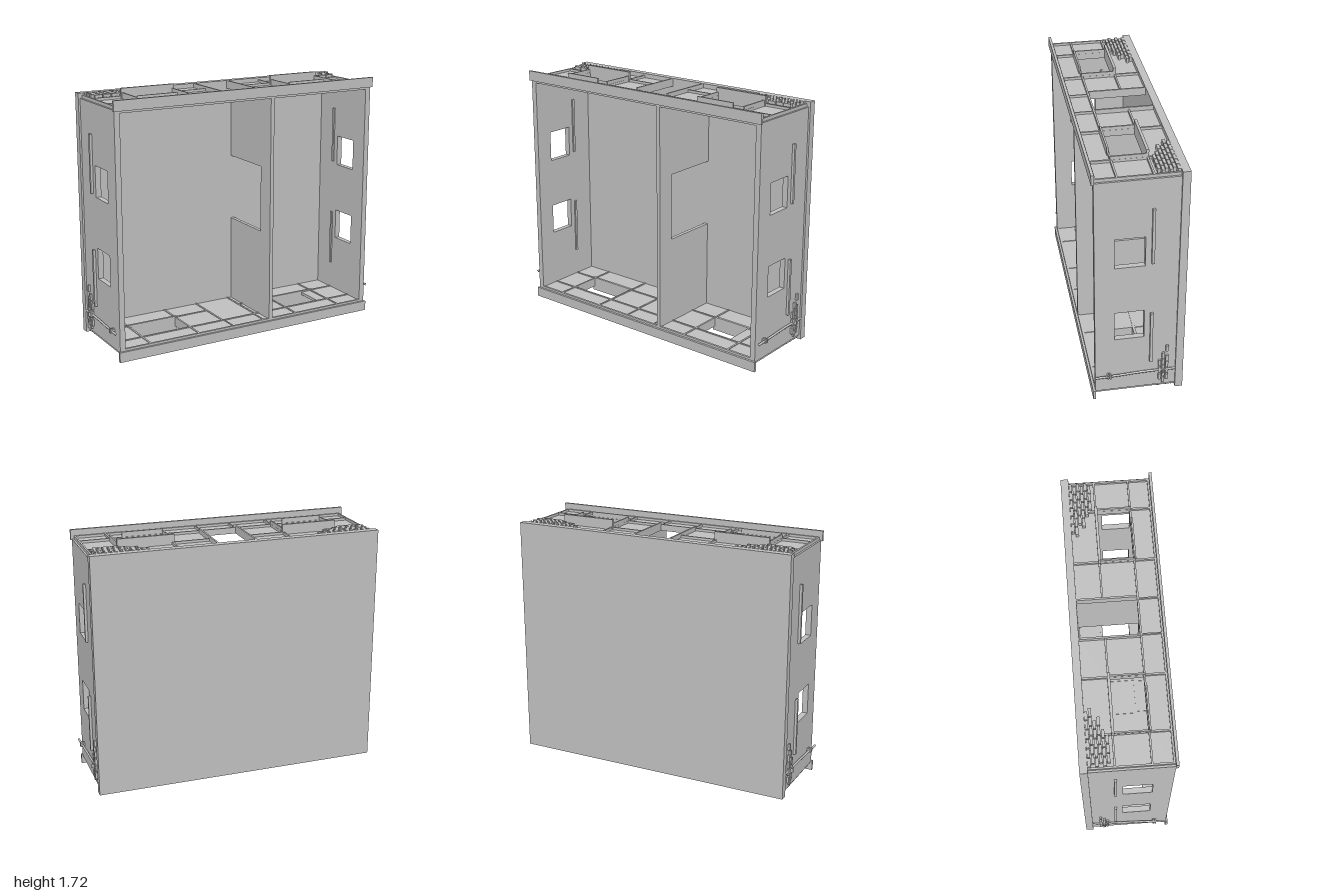
import * as THREE from 'three';

const MID = 0.868; // height of the mirror plane between upper and lower walls

export function createModel() {
  const model = new THREE.Group();
  const grey = new THREE.MeshStandardMaterial({ color: 0xbfbfbf });
  grey.name = 'stone grey';

  const add = (name, geometry, parent = model) => {
    const mesh = new THREE.Mesh(geometry, grey);
    mesh.name = name;
    parent.add(mesh);
    return mesh;
  };
  // Box given by its limits on each axis
  const box = (name, x0, x1, y0, y1, z0, z1, parent = model) => {
    const mesh = add(name, new THREE.BoxGeometry(x1 - x0, y1 - y0, z1 - z0), parent);
    mesh.position.set((x0 + x1) / 2, (y0 + y1) / 2, (z0 + z1) / 2);
    return mesh;
  };
  const path = (Type, pts) => new Type(pts.map(([a, b]) => new THREE.Vector2(a, b)));
  const rect = (a0, a1, b0, b1) => [[a0, b0], [a1, b0], [a1, b1], [a0, b1]];
  const panel = (outline, holes, depth) => {
    const shape = path(THREE.Shape, outline);
    shape.holes = holes.map((h) => path(THREE.Path, h));
    return new THREE.ExtrudeGeometry(shape, { depth, bevelEnabled: false });
  };

  // Base plate behind everything
  box('basePlate', -0.98, 0.98, 0.05, 1.69, -0.295, -0.245);

  // Long walls: upper one has a doorway, lower one is closed
  for (const upper of [true, false]) {
    const group = new THREE.Group();
    group.name = upper ? 'upperWall' : 'lowerWall';
    model.add(group);
    // Mirrors a height for the lower wall
    const slab = (name, x0, x1, y0, y1, z0, z1) => upper
      ? box(name, x0, x1, y0, y1, z0, z1, group)
      : box(name, x0, x1, 2 * MID - y1, 2 * MID - y0, z0, z1, group);

    const door = upper ? [[-0.125, -0.245], [-0.125, 0.135], [0.125, 0.135], [0.125, -0.245]] : [];
    const outline = [[-0.955, -0.245], ...door, [0.955, -0.245], [0.955, 0.28], [-0.955, 0.28]];
    const holes = [
      rect(-0.74, -0.39, -0.08, 0.135),
      rect(0.39, upper ? 0.74 : 0.665, -0.08, 0.135),
    ];
    const wall = add('wallPanel', panel(outline, holes, 0.02), group);
    wall.rotation.x = Math.PI / 2;
    wall.position.y = upper ? 1.66 : 2 * MID - 1.64;

    // Timber beams, showing on both faces of the wall
    for (const x of [-0.949, -0.745, -0.385, 0.385, 0.745, 0.949])
      slab('crossBeam', x - 0.006, x + 0.006, 1.635, 1.677, -0.245, 0.28);
    for (const s of [-1, 1]) {
      slab('middleBeam', s * 0.13 - 0.006, s * 0.13 + 0.006, 1.635, upper ? 1.69 : 1.677, -0.245, 0.135);
      slab('upperStud', s * 0.12 - 0.004, s * 0.12 + 0.004, 1.635, 1.677, 0.135, 0.28);
      const [a, b] = s < 0 ? [-0.95, -0.13] : [0.13, 0.95];
      slab('sillBeam', a, b, 1.635, 1.677, -0.089, -0.077);
    }
    slab('headBeam', -0.95, 0.95, 1.635, 1.677, 0.133, 0.145);
    slab('eaveBeam', -0.95, 0.95, 1.635, 1.677, 0.265, 0.28);

    // Window sills, frames and head trims
    for (const c of [-0.565, 0.565]) {
      slab('windowSill', c - 0.19, c + 0.19, 1.63, 1.728, -0.09, -0.072);
      for (const s of [-1, 1])
        slab('windowJamb', c + s * 0.18 - 0.005, c + s * 0.18 + 0.005, 1.64, 1.7, -0.075, 0.145);
      slab('windowHead', c - 0.18, c + 0.1, 1.64, 1.71, 0.138, 0.15);
    }

    // Stepped patches of brick at the rear corners
    for (const s of [-1, 1]) {
      for (let row = 0; row < 6; row++) {
        const z = -0.234 + row * 0.0235;
        const count = 6 - Math.floor(row * 0.65);
        for (let i = 0; i < count; i++) {
          const x = s * (0.915 - i * 0.058 - (row % 2) * 0.02);
          slab('brick', x - 0.026, x + 0.026, 1.655, 1.692, z - 0.0095, z + 0.0095);
        }
      }
    }

    // Front cornice
    slab('cornice', -0.977, 0.977, 1.65, 1.718, 0.277, 0.295);
  }

  // Side walls with their trims
  const sideBricks = [
    [-0.187, [0.38, 0.3, 0.25, 0.2, 0.145]],
    [-0.163, [0.325, 0.275, 0.225, 0.175, 0.125]],
    [-0.14, [0.265, 0.21, 0.15]],
  ];
  for (const s of [-1, 1]) {
    const name = s > 0 ? 'left' : 'right';
    const side = add(name + 'SideWall', panel(
      rect(-0.245, 0.28, 0.08, 1.656),
      [rect(-0.035, 0.155, 0.49, 0.7), rect(-0.035, 0.155, 1.042, 1.253)],
      0.038,
    ));
    side.rotation.y = -Math.PI / 2;
    side.position.x = s > 0 ? 0.968 : -0.93;

    const across = (part, a, b, y0, y1, z0, z1) =>
      box(part, Math.min(s * a, s * b), Math.max(s * a, s * b), y0, y1, z0, z1);
    across('sideSill', 0.92, 0.985, 0.287, 0.678, -0.09, -0.072);
    across('sideSill', 0.92, 0.985, 1.06, 1.452, -0.09, -0.072);
    for (const [z, heights] of sideBricks)
      for (const y of heights)
        across('sideBrick', 0.96, 0.982, y - 0.022, y + 0.022, z - 0.009, z + 0.009);

    // Knotted pole along the foot of the side wall
    const curve = new THREE.CatmullRomCurve3([
      [0.975, 0.205, -0.243], [0.978, 0.208, -0.05], [0.982, 0.204, 0.12], [0.99, 0.205, 0.282],
    ].map(([x, y, z]) => new THREE.Vector3(s * x, y, z)));
    add('pole', new THREE.TubeGeometry(curve, 12, 0.008, 6));
    for (const z of [-0.16, 0.185, 0.2])
      across('poleKnot', 0.968, 0.999, 0.192, 0.22, z - 0.005, z + 0.005);
  }

  // Inner partition with a doorway under a lintel
  box('partition', 0.16, 0.186, 0.095, 0.7, -0.245, 0.28);
  box('partition', 0.16, 0.186, 1.155, 1.642, -0.245, 0.28);
  box('partitionLintel', 0.16, 0.186, 0.7, 1.155, 0.157, 0.28);

  return model;
}
